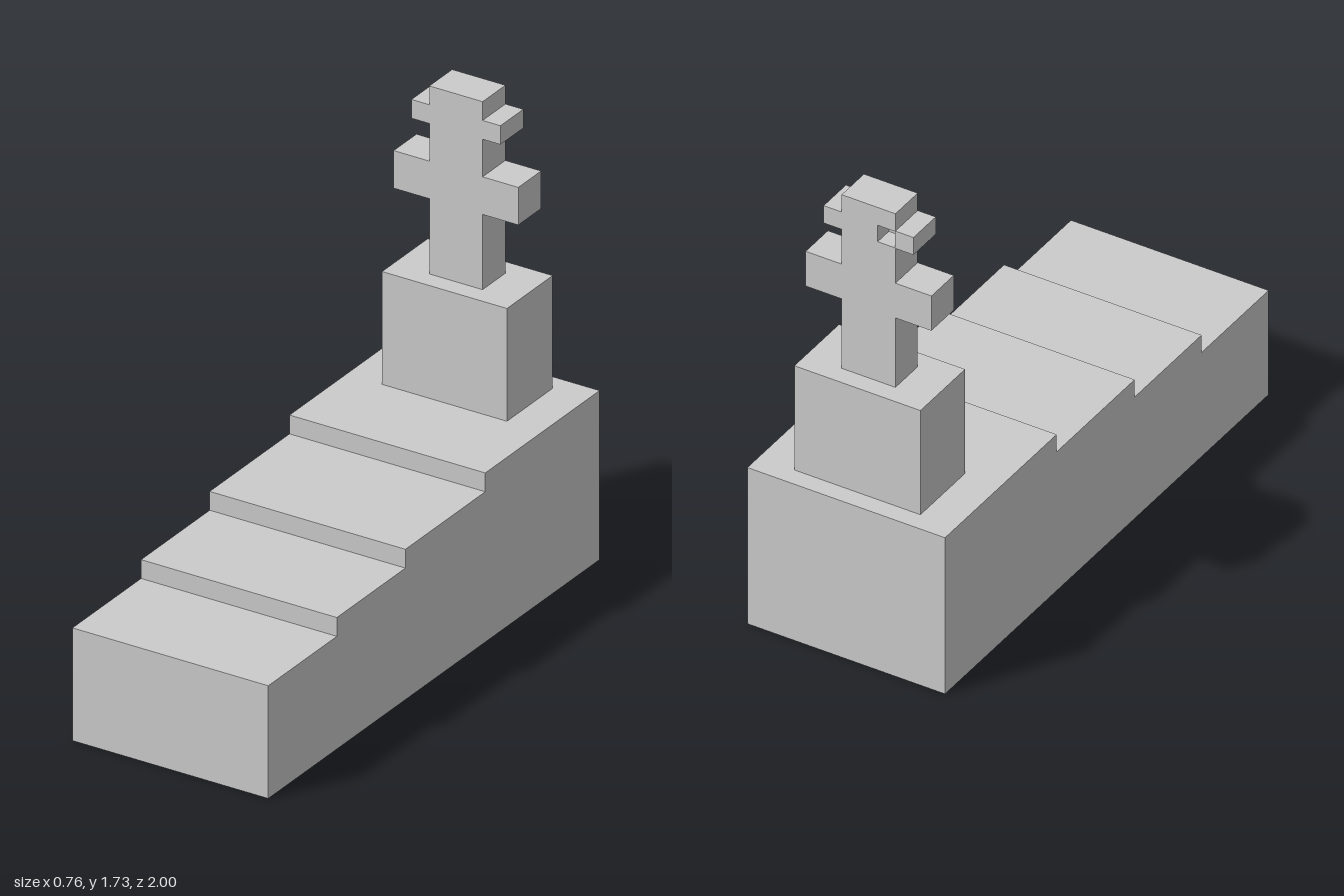
import * as THREE from 'three';

const material = new THREE.MeshStandardMaterial({ color: 0xcccccc, flatShading: true });

function polygon(points) {
  return points.map(([x, y]) => new THREE.Vector2(x, y));
}

// Extrude a shape forward from z = back to z = front
function slab(name, shape, back, front) {
  const geometry = new THREE.ExtrudeGeometry(shape, { depth: front - back, bevelEnabled: false });
  geometry.translate(0, 0, back);
  const mesh = new THREE.Mesh(geometry, material);
  mesh.name = name;
  return mesh;
}

export function createModel() {
  const model = new THREE.Group();
  model.name = 'steppedMonument';

  // Stepped base: side profile (z, y) extruded across the width
  const width = 0.757;
  const profile = new THREE.Shape(polygon([
    [-1, 0], [1, 0], [1, 0.414], [0.586, 0.414], [0.586, 0.483],
    [0.172, 0.483], [0.172, 0.552], [-0.31, 0.552], [-0.31, 0.621], [-1, 0.621],
  ]));
  const base = slab('steppedBase', profile, -width / 2, width / 2);
  base.geometry.rotateY(-Math.PI / 2);
  model.add(base);

  // Pedestal block
  const pedestal = new THREE.Mesh(new THREE.BoxGeometry(0.483, 0.414, 0.276), material);
  pedestal.name = 'pedestal';
  pedestal.position.set(0, 0.828, -0.793);
  model.add(pedestal);

  // Two-armed cross: half outline mirrored about x = 0
  const half = [
    [0.103, 1.035], [0.103, 1.311], [0.241, 1.311], [0.241, 1.449], [0.103, 1.449],
    [0.103, 1.587], [0.172, 1.587], [0.172, 1.656], [0.103, 1.656], [0.103, 1.725],
  ];
  const outline = polygon([...half, ...half.map(([x, y]) => [-x, y]).reverse()]);
  const cross = new THREE.Group();
  cross.name = 'cross';
  cross.add(slab('crossFront', new THREE.Shape(outline), -0.793, -0.724));

  // Rear layer with a small square recess beside one upper arm
  const rear = new THREE.Shape(outline);
  rear.holes.push(new THREE.Path(polygon([
    [-0.102, 1.589], [-0.102, 1.654], [-0.035, 1.654], [-0.035, 1.589],
  ])));
  cross.add(slab('crossRear', rear, -0.862, -0.793));
  model.add(cross);

  return model;
}
